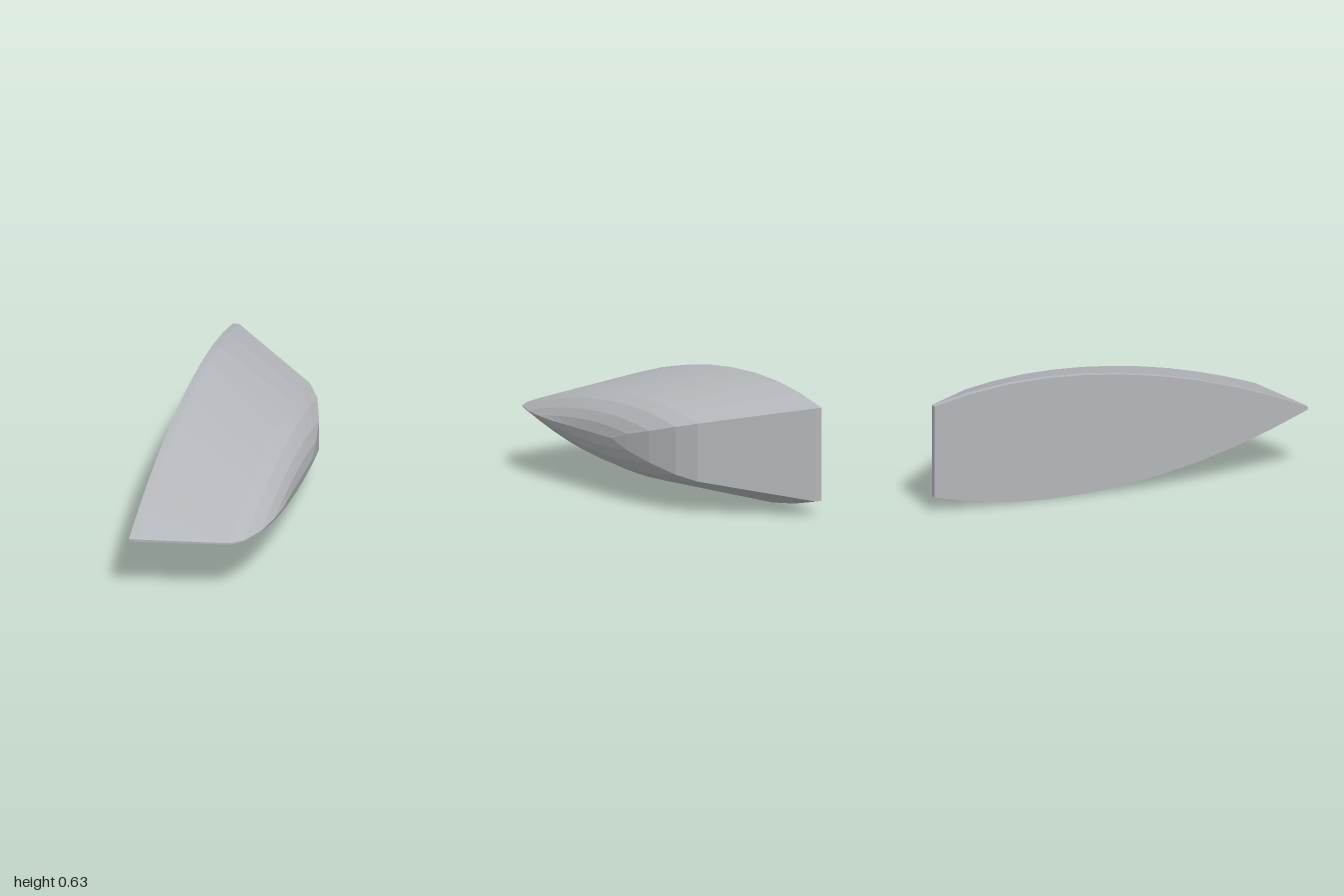
import * as THREE from 'three';

const MID_Y = 0.3135;
const STEPS = 10;

// Half thickness of the foil from the sharp nose (u = 0) to the blunt tail (u = 1), peak 1
function foil(u) {
  const peak = 0.7;
  const v = (u - peak) / (u < peak ? peak : 1 - peak);
  return u < peak ? 1 - 0.979 * v * v : 1 - 0.25 * v * v;
}

// Closed ring: over the top from nose to tail, back along the underside
function ring([x, nose, tail, half]) {
  const upper = [], lower = [];
  for (let i = 0; i <= STEPS; i++) {
    const u = i / STEPS;
    const z = nose + (tail - nose) * u;
    const h = half * foil(u);
    upper.push([x, MID_Y + h, z]);
    lower.unshift([x, MID_Y - h, z]);
  }
  return upper.concat(lower);
}

function loft(sections) {
  const rings = sections.map(ring);
  const n = rings[0].length;
  const pos = [];
  const tri = (a, b, c) => pos.push(...a, ...b, ...c);
  // Skin between neighbouring sections
  for (let s = 0; s < rings.length - 1; s++) {
    for (let j = 0; j < n; j++) {
      const k = (j + 1) % n;
      const a = rings[s][j], b = rings[s][k];
      const c = rings[s + 1][j], d = rings[s + 1][k];
      tri(a, c, b);
      if (s < rings.length - 2 || (j !== STEPS && j !== n - 1)) tri(b, c, d);
    }
  }
  // Flat root cap
  const centre = [sections[0][0], MID_Y, -0.2];
  for (let j = 0; j < n; j++) tri(centre, rings[0][j], rings[0][(j + 1) % n]);

  const geo = new THREE.BufferGeometry();
  geo.setAttribute('position', new THREE.Float32BufferAttribute(pos, 3));
  geo.computeVertexNormals(); // unshared corners keep the facets flat
  return geo;
}

export function createModel() {
  const group = new THREE.Group();
  group.name = 'finModel';

  const grey = new THREE.MeshStandardMaterial({ color: 0xb3b6ba });
  grey.name = 'light grey';

  // Sections from root to tip: x, nose z, tail z, greatest half thickness
  const fin = new THREE.Mesh(loft([
    [-0.323, 1, -1, 0.3135],
    [-0.29, 1, -1, 0.3135],
    [0.17, 0.915, -0.63, 0.195],
    [0.235, 0.86, -0.53, 0.161],
    [0.287, 0.73, -0.37, 0.106],
    [0.313, 0.59, -0.21, 0.055],
    [0.323, 0.46, -0.08, 0],
  ]), grey);
  fin.name = 'fin';
  group.add(fin);
  return group;
}
